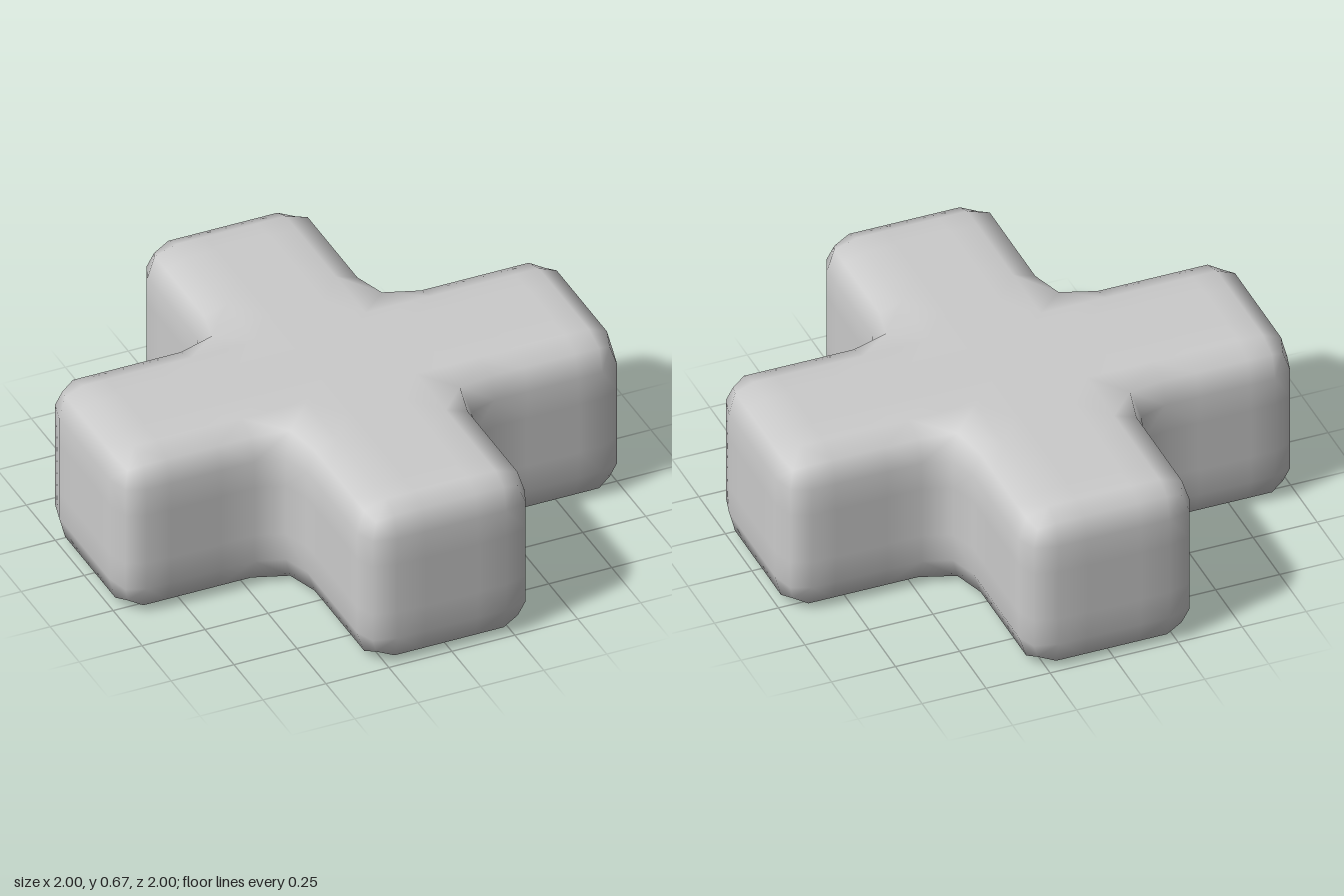
import * as THREE from 'three';

// Cage planes along each axis: outer loops control how tight the rounded edges are
const H = [-1, -0.81, -0.62, -0.333, -0.1, 0.1, 0.333, 0.62, 0.81, 1];
const LINES = [H, [0, 0.235, 0.432, 0.667], H];
const mid = (i) => i >= 3 && i <= 5;
const filled = ([i, j, k]) =>
  i >= 0 && i < 9 && j >= 0 && j < 3 && k >= 0 && k < 9 && (mid(i) || mid(k));

// Quad skin around the filled cells of a plus-shaped block
function crossCage() {
  const points = [], faces = [], ids = new Map();
  const id = (c) => {
    const key = c.join();
    if (!ids.has(key)) {
      ids.set(key, points.length);
      points.push(new THREE.Vector3(...c.map((n, a) => LINES[a][n])));
    }
    return ids.get(key);
  };
  for (let i = 0; i < 9; i++) for (let j = 0; j < 3; j++) for (let k = 0; k < 9; k++) {
    const cell = [i, j, k];
    if (!filled(cell)) continue;
    for (let a = 0; a < 3; a++) for (const s of [-1, 1]) {
      const next = [...cell];
      next[a] += s;
      if (filled(next)) continue;
      const quad = [[0, 0], [1, 0], [1, 1], [0, 1]].map(([u, v]) => {
        const c = [...cell];
        c[a] += s > 0 ? 1 : 0;
        c[(a + 1) % 3] += u;
        c[(a + 2) % 3] += v;
        return id(c);
      });
      faces.push(s > 0 ? quad : quad.reverse());
    }
  }
  return { points, faces };
}

// One Catmull-Clark step on a closed quad mesh
function subdivide({ points, faces }) {
  const average = (list) =>
    list.reduce((sum, p) => sum.add(p), new THREE.Vector3()).divideScalar(list.length);
  const centres = faces.map((f) => average(f.map((v) => points[v])));
  const edges = new Map();
  const around = points.map(() => ({ faces: [], mids: [] }));
  const edgeKey = (a, b) => (a < b ? a + '_' + b : b + '_' + a);
  faces.forEach((f, n) => f.forEach((a, c) => {
    const b = f[(c + 1) % 4], key = edgeKey(a, b);
    around[a].faces.push(centres[n]);
    if (!edges.has(key)) {
      edges.set(key, { a, b, centres: [] });
      const m = average([points[a], points[b]]);
      around[a].mids.push(m);
      around[b].mids.push(m);
    }
    edges.get(key).centres.push(centres[n]);
  }));

  const out = points.map((p, v) => {
    const n = around[v].faces.length;
    return average(around[v].faces)
      .addScaledVector(average(around[v].mids), 2)
      .addScaledVector(p, n - 3)
      .divideScalar(n);
  });
  for (const e of edges.values()) {
    e.id = out.length;
    out.push(average([points[e.a], points[e.b], ...e.centres]));
  }
  const quads = [];
  faces.forEach((f, n) => {
    const centre = out.push(centres[n]) - 1;
    f.forEach((v, c) => quads.push([
      v, edges.get(edgeKey(v, f[(c + 1) % 4])).id,
      centre, edges.get(edgeKey(f[(c + 3) % 4], v)).id,
    ]));
  });
  return { points: out, faces: quads };
}

export function createModel() {
  const group = new THREE.Group();
  group.name = 'roundedCross';

  // Four-armed block with softened edges and inner corners
  const { points, faces } = subdivide(crossCage());
  const geometry = new THREE.BufferGeometry().setFromPoints(points);
  geometry.setIndex(faces.flatMap(([a, b, c, d]) => [a, b, c, a, c, d]));
  geometry.computeVertexNormals();

  const body = new THREE.Mesh(geometry, new THREE.MeshStandardMaterial({ color: 0xcccccc }));
  body.name = 'crossBody';
  group.add(body);
  return group;
}
